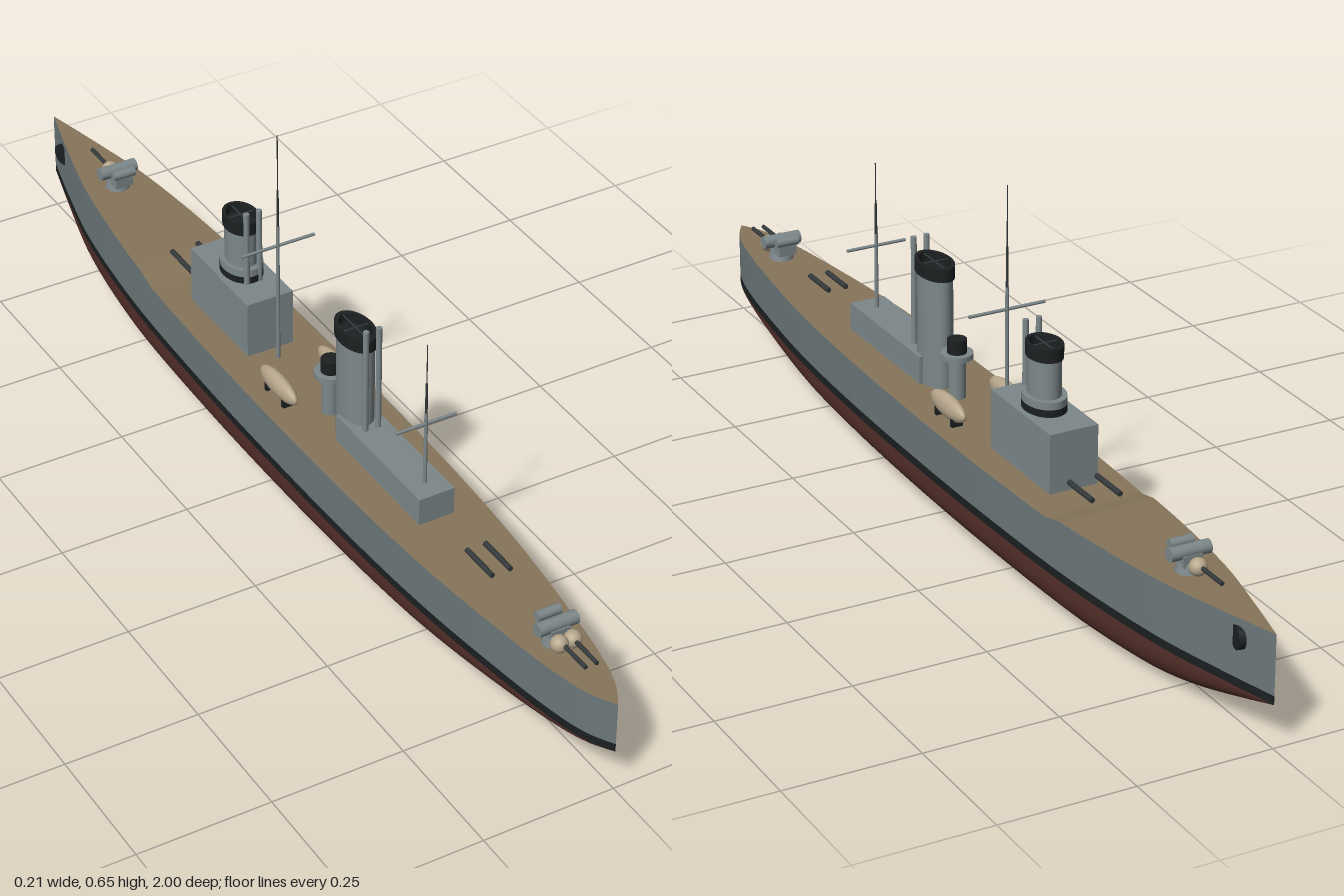
import * as THREE from 'three';

const mat = (color, extra = {}) => new THREE.MeshStandardMaterial({ color, ...extra });
const GREY = mat(0x7d888b), HULL = mat(0x6c7779), RED = mat(0x55302b), BLACK = mat(0x1c2021);
const DECK = mat(0x86755a), CANVAS = mat(0xb5a58a), STEEL = mat(0x33383a);

function add(parent, name, geometry, material, x = 0, y = 0, z = 0) {
  const m = new THREE.Mesh(geometry, material);
  m.name = name;
  m.position.set(x, y, z);
  parent.add(m);
  return m;
}
const box = (p, name, m, w, h, d, x, y, z) => add(p, name, new THREE.BoxGeometry(w, h, d), m, x, y + h / 2, z);
// upright cylinder standing on y, tapering from r to rTop
const post = (p, name, m, r, h, x, y, z, rTop = r, seg = 20) =>
  add(p, name, new THREE.CylinderGeometry(rTop, r, h, seg), m, x, y + h / 2, z);
// horizontal cylinder centred on the given point
function bar(p, name, m, r, len, axis, x, y, z) {
  const b = add(p, name, new THREE.CylinderGeometry(r, r, len, 16), m, x, y, z);
  if (axis === 'x') b.rotation.z = Math.PI / 2; else b.rotation.x = Math.PI / 2;
  return b;
}

// smooth interpolation through [z, value] pairs
function curve(pts, z) {
  let i = 0;
  while (i < pts.length - 2 && z > pts[i + 1][0]) i++;
  const slope = (k) => {
    const a = pts[Math.max(k - 1, 0)], b = pts[Math.min(k + 1, pts.length - 1)];
    return (b[1] - a[1]) / (b[0] - a[0]);
  };
  const [z0, v0] = pts[i], [z1, v1] = pts[i + 1], h = z1 - z0, t = (z - z0) / h;
  return v0 * (1 + 2 * t) * (1 - t) ** 2 + slope(i) * h * t * (1 - t) ** 2
    + v1 * t * t * (3 - 2 * t) + slope(i + 1) * h * t * t * (t - 1);
}
const beam = (z) => Math.max(0, curve([[-1, 0], [-0.9, 0.026], [-0.74, 0.062], [-0.5, 0.09], [-0.25, 0.101],
  [0, 0.104], [0.3, 0.1], [0.55, 0.087], [0.78, 0.061], [0.9, 0.041], [0.96, 0.023], [1, 0]], z));
const keel = (z) => Math.max(0, curve([[-1, 0.08], [-0.93, 0.058], [-0.82, 0.027], [-0.7, 0.007], [-0.5, 0.001],
  [0, 0.003], [0.25, 0.008], [0.46, 0.016], [0.67, 0.03], [0.89, 0.057], [1, 0.08]], z));
const deckY = (z) => z > -0.42 ? 0.18 : z > -0.46 ? 0.18 + (-0.42 - z) * 0.25 : 0.19 + (-0.46 - z) * 0.031;

// skin through cross-sections running along z
function loft(parent, name, material, ring) {
  const pos = [], idx = [], N = 100;
  let n = 0;
  for (let i = 0; i <= N; i++) {
    const z = -1 + 2 * i / N, pts = ring(z);
    n = pts.length;
    for (const [x, y] of pts) pos.push(x, y, z);
  }
  for (let i = 0; i < N; i++) for (let j = 0; j < n - 1; j++) {
    const a = i * n + j, b = a + n;
    idx.push(a, b, a + 1, b, b + 1, a + 1);
  }
  const g = new THREE.BufferGeometry();
  g.setAttribute('position', new THREE.Float32BufferAttribute(pos, 3));
  g.setIndex(idx);
  g.computeVertexNormals();
  add(parent, name, g, material);
}

function buildHull(parent) {
  const hull = new THREE.Group();
  hull.name = 'hull';
  parent.add(hull);
  loft(hull, 'lowerHull', RED, (z) => {
    const e = 2 / (2 + Math.min(1, (1 - Math.abs(z)) * 2)), w = beam(z), k = keel(z), pts = [];
    for (let j = 0; j <= 24; j++) {
      const a = Math.PI * j / 24, c = Math.cos(a);
      pts.push([w * Math.sign(c) * Math.abs(c) ** e, 0.08 - (0.08 - k) * Math.abs(Math.sin(a)) ** e]);
    }
    return pts;
  });
  for (const s of [1, -1]) {
    const side = (lo, hi) => (z) => {
      const r = [[s * beam(z), hi(z)], [s * beam(z), lo]];
      return s > 0 ? r : r.reverse();
    };
    loft(hull, 'waterlineBand', BLACK, side(0.08, () => 0.096));
    loft(hull, 'hullSide', HULL, side(0.096, deckY));
    // round anchor plate at the bow
    bar(hull, 'anchor', BLACK, 0.021, 0.012, 'x', s * 0.02, 0.17, -0.92).rotation.y = -s * 0.2;
  }
  loft(hull, 'deck', DECK, (z) => [[-beam(z), deckY(z)], [beam(z), deckY(z)]]);
}

// oval funnel with a hollow black cap and two steam pipes
function buildFunnel(parent, name, y, z, rx, rz, pipeZ, collar) {
  const f = new THREE.Group();
  f.name = name;
  parent.add(f);
  const oval = (part, m, pts) => {
    const g = new THREE.LatheGeometry(pts.map(([r, h]) => new THREE.Vector2(r, h)), 32);
    add(f, part, g, m, 0, 0, z).scale.z = rz / rx;
  };
  oval('funnelBody', GREY, [[rx, y], [rx, 0.395]]);
  const o = rx + 0.003, n = rx - 0.003;
  oval('funnelCapOuter', BLACK, [[rx, 0.39], [o, 0.39], [o, 0.39], [o, 0.415]]);
  oval('funnelCapRim', BLACK, [[o, 0.415], [n, 0.415]]);
  oval('funnelCapInner', BLACK, [[n, 0.415], [n, 0.397]]);
  oval('funnelMouth', BLACK, [[n, 0.397], [0, 0.397]]);
  bar(f, 'funnelGrate', STEEL, 0.0015, 2 * n, 'x', 0, 0.412, z);
  bar(f, 'funnelGrate', STEEL, 0.0015, 2 * n * rz / rx, 'z', 0, 0.412, z);
  if (collar) {
    const c = rx + 0.009;
    post(f, 'collarBase', BLACK, c, 0.014, 0, y, z, c, 32).scale.z = rz / rx;
    post(f, 'collar', GREY, c, 0.014, 0, y + 0.014, z, c, 32).scale.z = rz / rx;
  }
  for (const s of [1, -1]) post(f, 'steamPipe', GREY, 0.0055, 0.442 - y, s * 0.013, y, pipeZ);
}

// stepped mast with one yard
function buildMast(parent, name, z, heights, yardY, yardLength) {
  const mast = new THREE.Group();
  mast.name = name;
  parent.add(mast);
  [0.0038, 0.0025, 0.0011].forEach((r, i) =>
    post(mast, 'mastSection', i ? STEEL : GREY, r, heights[i + 1] - heights[i], 0, heights[i], z, r * 0.85, 10));
  bar(mast, 'yard', GREY, 0.003, yardLength, 'x', 0, yardY, z);
}

// deck gun aiming along its local +z
function buildGun(parent, name, y, z, turn, barrels) {
  const gun = new THREE.Group();
  gun.name = name;
  gun.position.set(0, y, z);
  gun.rotation.y = turn;
  parent.add(gun);
  post(gun, 'pedestal', GREY, 0.024, 0.02, 0, 0, 0, 0.019);
  box(gun, 'mount', GREY, 0.036, 0.02, 0.045, 0, 0.014, -0.008);
  bar(gun, 'crossDrum', GREY, 0.0125, 0.076, 'x', 0, 0.037, 0);
  bar(gun, 'sightDrum', GREY, 0.009, 0.045, 'x', 0, 0.042, -0.026);
  for (const x of barrels) {
    add(gun, 'blastBag', new THREE.SphereGeometry(0.016, 20, 14), CANVAS, x * 1.2, 0.021, 0.03);
    bar(gun, 'barrel', STEEL, 0.004, 0.09, 'z', x, 0.024, 0.06);
  }
}

export function createModel() {
  const ship = new THREE.Group();
  ship.name = 'warship';
  buildHull(ship);

  // deckhouses and funnels
  box(ship, 'bridgeHouse', GREY, 0.094, 0.112, 0.212, 0, 0.18, -0.242);
  box(ship, 'aftDeckhouse', GREY, 0.07, 0.053, 0.28, 0, 0.18, 0.3);
  buildFunnel(ship, 'foreFunnel', 0.292, -0.242, 0.028, 0.037, -0.198, true);
  buildFunnel(ship, 'aftFunnel', 0.18, 0.165, 0.028, 0.047, 0.222, false);

  // masts
  buildMast(ship, 'foreMast', -0.107, [0.18, 0.465, 0.54, 0.654], 0.423, 0.15);
  buildMast(ship, 'aftMast', 0.4, [0.233, 0.38, 0.44, 0.52], 0.357, 0.12);

  // searchlight tower between the funnels
  post(ship, 'towerColumn', GREY, 0.016, 0.08, 0, 0.18, 0.08);
  post(ship, 'towerPlatform', GREY, 0.03, 0.01, 0, 0.258, 0.08);
  post(ship, 'searchlight', BLACK, 0.018, 0.026, 0, 0.268, 0.08);

  // covered boats on cradles
  for (const s of [1, -1]) {
    add(ship, 'boat', new THREE.SphereGeometry(1, 28, 18), CANVAS, s * 0.059, 0.207, 0).scale.set(0.015, 0.022, 0.062);
    for (const z of [-0.03, 0.03]) box(ship, 'boatCradle', BLACK, 0.022, 0.016, 0.008, s * 0.059, 0.18, z);
    // light gun barrels fore and aft
    bar(ship, 'lightGunAft', STEEL, 0.005, 0.08, 'z', s * 0.018, 0.207, 0.607);
    bar(ship, 'lightGunFore', STEEL, 0.005, 0.08, 'z', s * 0.027, 0.213, -0.42);
  }

  // main guns
  buildGun(ship, 'sternGun', 0.18, 0.815, 0, [-0.011, 0.011]);
  buildGun(ship, 'bowGun', 0.197, -0.73, Math.PI, [0]);
  return ship;
}
